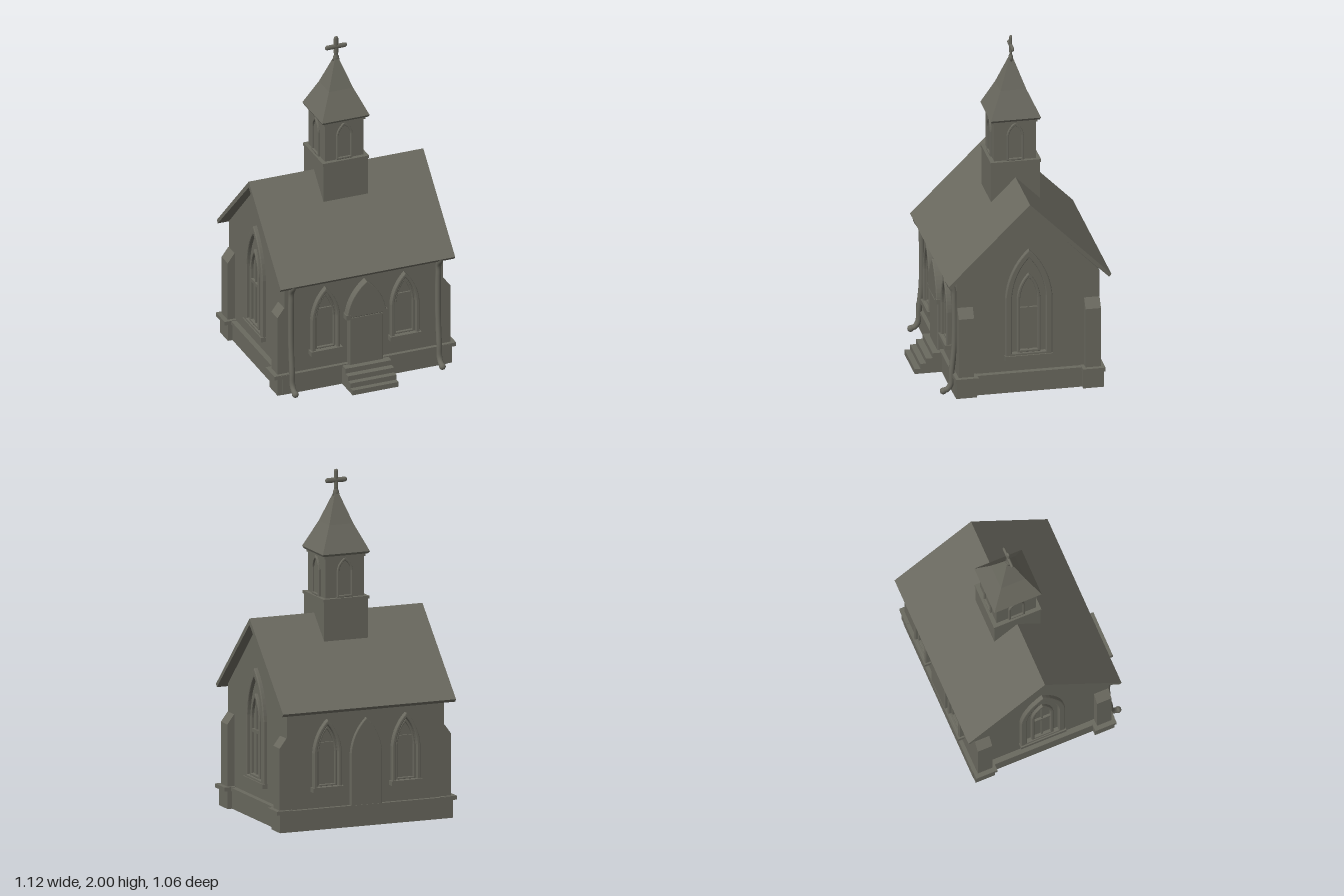
import * as THREE from 'three';

const CZ = -0.055; // depth of the ridge and tower axis
const stone = new THREE.MeshStandardMaterial({ color: 0x6a695f });
stone.name = 'dark stone';

function add(parent, name, geometry, x = 0, y = 0, z = 0) {
  const mesh = new THREE.Mesh(geometry, stone);
  mesh.name = name;
  mesh.position.set(x, y, z);
  parent.add(mesh);
  return mesh;
}

// box given by its limits
function box(parent, name, x0, x1, y0, y1, z0, z1) {
  return add(parent, name, new THREE.BoxGeometry(x1 - x0, y1 - y0, z1 - z0),
    (x0 + x1) / 2, (y0 + y1) / 2, (z0 + z1) / 2);
}

// pointed arch outline with half width w
function arch(path, w, y0, spring, top) {
  const h = top - spring;
  path.moveTo(-w, y0);
  path.lineTo(w, y0);
  path.lineTo(w, spring);
  path.quadraticCurveTo(w * 0.88, spring + h * 0.6, 0, top);
  path.quadraticCurveTo(-w * 0.88, spring + h * 0.6, -w, spring);
  path.closePath();
  return path;
}

// raised arched moulding around an opening
function archFrame(parent, name, w, y0, spring, top, t, depth, openBottom = false) {
  const shape = arch(new THREE.Shape(), w, y0, spring, top);
  const bottom = openBottom ? y0 + 0.002 : y0 + t;
  shape.holes.push(arch(new THREE.Path(), w - t, bottom, spring, top - t * 1.35));
  const b = Math.min(0.006, t * 0.25);
  return add(parent, name, new THREE.ExtrudeGeometry(shape, {
    depth: depth - b, bevelEnabled: true, bevelThickness: b, bevelSize: b, bevelOffset: -b,
    bevelSegments: 2, curveSegments: 10,
  }));
}

function archPanel(parent, name, w, y0, spring, top, depth) {
  return add(parent, name, new THREE.ExtrudeGeometry(arch(new THREE.Shape(), w, y0, spring, top),
    { depth, bevelEnabled: false, curveSegments: 10 }));
}

// group whose local +z points out of a wall
function wallFace(parent, name, angle, distance) {
  const g = new THREE.Group();
  g.name = name;
  g.rotation.y = angle;
  g.position.set(Math.sin(angle) * distance, 0, CZ + Math.cos(angle) * distance);
  parent.add(g);
  return g;
}

// prism extruded along x from a (z, y) outline
function prismX(parent, name, points, halfLength) {
  const shape = new THREE.Shape(points.map(([z, y]) => new THREE.Vector2(-z, y)));
  const geo = new THREE.ExtrudeGeometry(shape, { depth: halfLength * 2, bevelEnabled: false });
  geo.translate(0, 0, -halfLength);
  geo.rotateY(Math.PI / 2);
  return add(parent, name, geo, 0, 0, CZ);
}

export function createModel() {
  const model = new THREE.Group();
  model.name = 'chapel';

  // walls and plinth
  prismX(model, 'gabledWalls', [[0.415, 0.02], [0.415, 0.71], [0, 1.13], [-0.415, 0.71], [-0.415, 0.02]], 0.49);
  box(model, 'plinth', -0.512, 0.512, 0, 0.105, CZ - 0.432, CZ + 0.432);
  box(model, 'plinthMoulding', -0.522, 0.522, 0.105, 0.125, CZ - 0.438, CZ + 0.438);

  // roof
  prismX(model, 'roof', [[0, 1.172], [0.475, 0.7], [0.462, 0.683], [0, 1.135], [-0.462, 0.683], [-0.475, 0.7]], 0.54);

  // buttresses at the gable corners
  for (const sx of [-1, 1]) for (const sz of [-1, 1]) {
    const g = new THREE.Group();
    g.name = 'buttress';
    g.position.set(sx * 0.49, 0, CZ + sz * 0.37);
    g.rotation.y = sx > 0 ? Math.PI / 2 : -Math.PI / 2;
    model.add(g);
    box(g, 'buttressBase', -0.06, 0.06, 0, 0.105, -0.03, 0.05);
    box(g, 'buttressMoulding', -0.066, 0.066, 0.105, 0.128, -0.03, 0.072);
    const profile = new THREE.Shape();
    [[-0.02, 0.12], [0.045, 0.12], [0.045, 0.49], [0.004, 0.545], [-0.02, 0.545]]
      .forEach(([x, y], i) => (i ? profile.lineTo(x, y) : profile.moveTo(x, y)));
    const geo = new THREE.ExtrudeGeometry(profile, { depth: 0.09, bevelEnabled: false });
    geo.translate(0, 0, -0.045);
    geo.rotateY(-Math.PI / 2);
    add(g, 'buttressShaft', geo);
  }

  // long walls: windows and doors
  for (const back of [false, true]) {
    const face = wallFace(model, back ? 'backWall' : 'frontWall', back ? Math.PI : 0, 0.415);
    for (const sx of [-1, 1]) {
      const win = new THREE.Group();
      win.name = 'lancetWindow';
      win.position.x = sx * 0.245;
      face.add(win);
      archFrame(win, 'windowFrame', 0.088, 0.23, 0.45, 0.64, 0.022, 0.03);
      archFrame(win, 'windowInnerFrame', 0.062, 0.25, 0.45, 0.6, 0.012, 0.014);
      box(win, 'windowTransom', -0.055, 0.055, 0.497, 0.507, -0.01, 0.01);
      box(win, 'windowSill', -0.097, 0.097, 0.222, 0.25, -0.01, 0.04);
    }
    if (back) {
      archFrame(face, 'backDoorFrame', 0.098, 0.11, 0.43, 0.63, 0.018, 0.02, true);
      archPanel(face, 'backDoor', 0.08, 0.11, 0.43, 0.605, 0.006);
    } else {
      archFrame(face, 'doorFrame', 0.105, 0.11, 0.43, 0.635, 0.025, 0.035, true);
      archFrame(face, 'doorHood', 0.122, 0.425, 0.43, 0.645, 0.02, 0.045, true);
      archPanel(face, 'door', 0.08, 0.11, 0.43, 0.6, 0.008);
      box(face, 'doorTransom', -0.08, 0.08, 0.395, 0.41, 0, 0.016);
      for (const sx of [-1, 1]) {
        box(face, 'hoodStop', sx * 0.112 - 0.015, sx * 0.112 + 0.015, 0.415, 0.445, 0, 0.046);
      }
    }
  }

  // gable windows
  for (const sx of [-1, 1]) {
    const face = wallFace(model, 'gableWall', sx * Math.PI / 2, 0.49);
    archFrame(face, 'gableWindowFrame', 0.137, 0.205, 0.59, 0.88, 0.038, 0.024);
    archFrame(face, 'gableWindowInnerFrame', 0.068, 0.24, 0.58, 0.73, 0.018, 0.018);
    box(face, 'gableWindowTransom', -0.055, 0.055, 0.5, 0.52, -0.01, 0.014);
    box(face, 'gableWindowMullion', -0.006, 0.006, 0.25, 0.7, -0.01, 0.01);
    box(face, 'gableWindowSill', -0.14, 0.14, 0.2, 0.228, -0.01, 0.032);
  }

  // entrance steps
  [0.535, 0.502, 0.468, 0.43].forEach((z, i) =>
    box(model, 'step', -0.142, 0.142, i * 0.03, (i + 1) * 0.03, 0.34, z));

  // drainpipes
  for (const sx of [-1, 1]) {
    const x = sx * 0.455;
    const path = new THREE.CatmullRomCurve3([
      [0.405, 0.705], [0.4, 0.685], [0.375, 0.645], [0.37, 0.58], [0.37, 0.3],
      [0.385, 0.14], [0.39, 0.06], [0.41, 0.03], [0.44, 0.02],
    ].map(([z, y]) => new THREE.Vector3(x, y, z)));
    add(model, 'drainpipe', new THREE.TubeGeometry(path, 48, 0.017, 10));
    add(model, 'drainpipeFoot', new THREE.SphereGeometry(0.02, 12, 8), x, 0.02, 0.434);
  }

  // bell tower
  const tower = new THREE.Group();
  tower.name = 'bellTower';
  tower.position.z = CZ;
  model.add(tower);
  box(tower, 'towerBase', -0.137, 0.137, 0.98, 1.262, -0.143, 0.143);
  box(tower, 'towerBaseCornice', -0.143, 0.143, 1.258, 1.275, -0.147, 0.147);
  box(tower, 'belfry', -0.12, 0.12, 1.27, 1.53, -0.122, 0.122);
  box(tower, 'belfryCornice', -0.128, 0.128, 1.505, 1.53, -0.13, 0.13);
  for (let i = 0; i < 4; i++) {
    const face = wallFace(model, 'belfryFace', i * Math.PI / 2, 0.121);
    archFrame(face, 'belfryOpening', 0.05, 1.275, 1.43, 1.508, 0.013, 0.011);
  }

  // spire
  const spireParts = [['spireEave', 0.14, 0.147, 1.522, 1.535], ['spireLower', 0.075, 0.147, 1.535, 1.69],
    ['spireUpper', 0.012, 0.075, 1.69, 1.86]];
  for (const [name, top, bottom, y0, y1] of spireParts) {
    const lower = name === 'spireEave' ? top : bottom;
    const upper = name === 'spireEave' ? bottom : top;
    const geo = new THREE.CylinderGeometry(upper * Math.SQRT2, lower * Math.SQRT2, y1 - y0, 4).toNonIndexed();
    geo.rotateY(Math.PI / 4);
    geo.computeVertexNormals();
    add(tower, name, geo, 0, (y0 + y1) / 2, 0);
  }

  // finial and cross
  const finial = [[0, 1.835], [0.02, 1.845], [0.019, 1.868], [0.01, 1.885], [0.012, 1.9], [0, 1.91]];
  add(tower, 'finial', new THREE.LatheGeometry(finial.map(([r, y]) => new THREE.Vector2(r, y)), 16))
    .scale.z = 0.7;
  const upright = add(tower, 'crossUpright', new THREE.CapsuleGeometry(0.014, 0.092, 4, 12), 0, 1.94, 0);
  const arms = add(tower, 'crossArms', new THREE.CapsuleGeometry(0.015, 0.106, 4, 12), 0, 1.935, 0);
  arms.rotation.z = Math.PI / 2;
  upright.scale.z = arms.scale.z = 0.6;

  return model;
}
